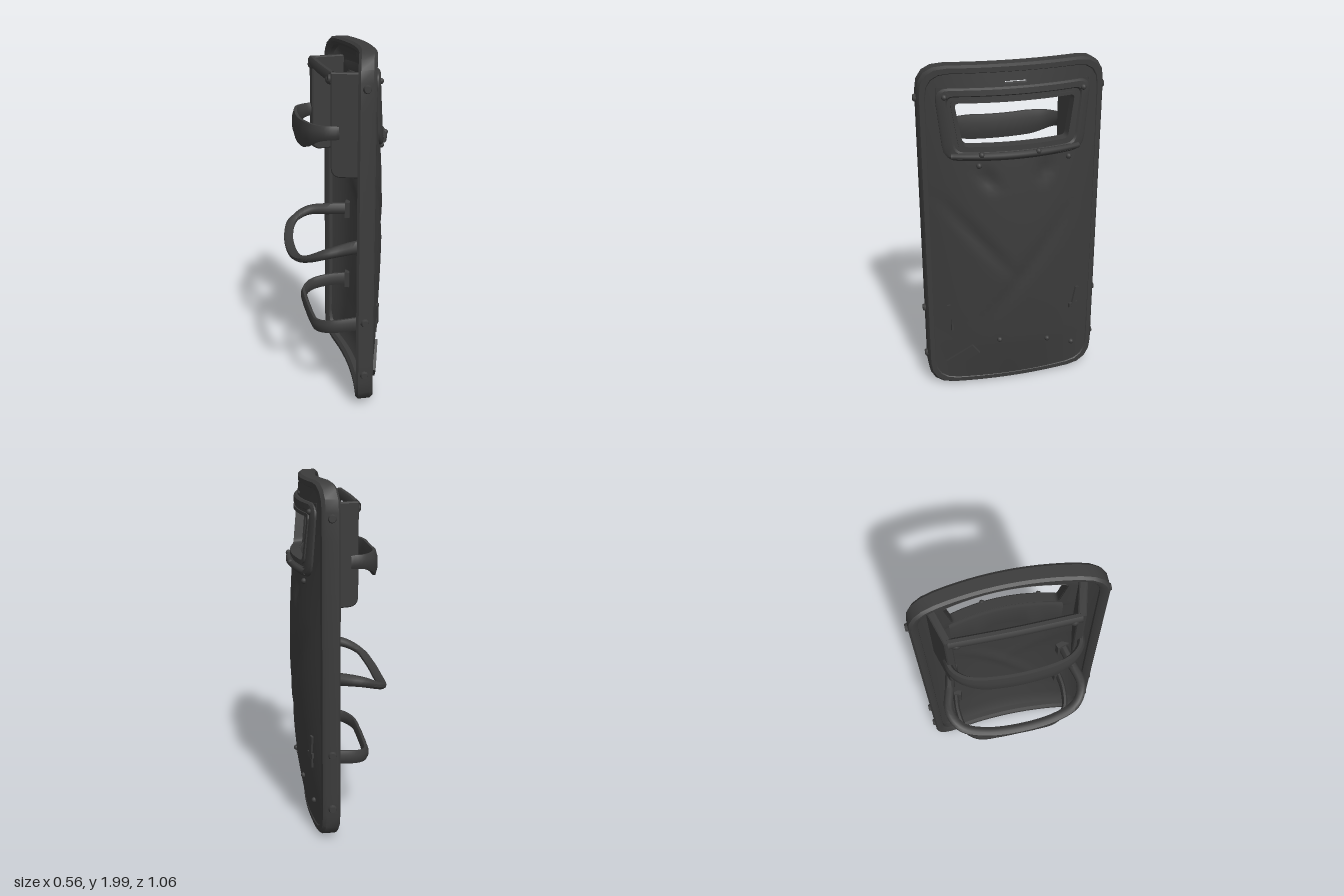
import * as THREE from 'three';
import { toCreasedNormals } from 'three/addons/utils/BufferGeometryUtils.js';

const black = new THREE.MeshStandardMaterial({ color: 0x3c3c3c, side: THREE.DoubleSide });
black.name = 'matte black';

const V = (x, y, z) => new THREE.Vector3(x, y, z);
// horizontal curve shared by rim and panel, a little flatter at the foot
const bend = (y, z) => (0.07 - 0.02 * Math.max(0, 1 - y / 0.3)) * (1 - (z / 0.5) ** 2);

// shallow V-shaped crease between two (z, y) points
function crease(z, y, z0, y0, z1, y1, depth) {
  const dz = z1 - z0, dy = y1 - y0;
  const t = THREE.MathUtils.clamp(((z - z0) * dz + (y - y0) * dy) / (dz * dz + dy * dy), 0, 1);
  const d = Math.hypot(z - z0 - t * dz, y - y0 - t * dy);
  return depth * Math.max(0, 1 - d / 0.06) * Math.sin(Math.PI * t);
}

// x of the outer face of the panel
function face(y, z) {
  const bulge = 0.07 * Math.sin(Math.PI * y / 2) * (1 - (z / 0.5) ** 2);
  return 0.12 + bend(y, z) + bulge
    - crease(z, y, 0.45, 1.3, -0.02, 0.72, 0.014)
    - crease(z, y, -0.36, 1.22, 0.22, 0.4, 0.014)
    - crease(z, y, 0.2, 1.45, 0.12, 1.3, 0.02)
    - crease(z, y, -0.2, 1.48, -0.12, 1.32, 0.02);
}

// panel thickness, swelling to meet the back of the rim
function thickness(y, z) {
  const d = Math.min(0.5 - Math.abs(z), y, 2 - y);
  return 0.03 + 0.055 * Math.max(0, 1 - d / 0.14) ** 2;
}

// surface through rows of points; cell test can leave holes
function loft(rows, { loopI = false, loopJ = false, keep = () => true, crease = 0.6 } = {}) {
  const m = rows.length, n = rows[0].length, index = [];
  for (let i = 0; i < (loopI ? m : m - 1); i++) for (let j = 0; j < (loopJ ? n : n - 1); j++) {
    if (!keep(i, j)) continue;
    const i2 = (i + 1) % m, j2 = (j + 1) % n;
    const a = i * n + j, b = i2 * n + j, c = i2 * n + j2, d = i * n + j2;
    index.push(a, b, c, a, c, d);
  }
  const g = new THREE.BufferGeometry().setFromPoints(rows.flat());
  g.setIndex(index);
  return toCreasedNormals(g, crease);
}

// closed trapezoid outline in (z, y) with rounded corners, finely divided
function outline(wTop, wBot, yb, yt, r) {
  const c = [[wBot, yb], [wTop, yt], [-wTop, yt], [-wBot, yb]].map(p => new THREE.Vector2(...p));
  const pts = [];
  c.forEach((p, i) => {
    const toward = (q, k) => p.clone().add(q.clone().sub(p).setLength(k));
    const prev = c[(i + 3) % 4], next = c[(i + 1) % 4];
    const a = toward(prev, r), b = toward(next, r);
    pts.push(...new THREE.QuadraticBezierCurve(a, p, b).getPoints(4));
    const end = next.clone().add(p.clone().sub(next).setLength(r));
    for (let k = 1; k < 12; k++) pts.push(b.clone().lerp(end, k / 12));
  });
  return pts;
}

// rounded band swept along a smooth path, w wide, h high at its ends and hMid in the middle
function band(points, w, h, hMid = h, steps = 48) {
  const curve = new THREE.CatmullRomCurve3(points.map(p => V(...p)));
  const rows = [];
  for (let i = 0; i <= steps; i++) {
    const p = curve.getPointAt(i / steps), t = curve.getTangentAt(i / steps);
    const side = t.clone().cross(V(0, 1, 0)).normalize(), up = side.clone().cross(t);
    const height = THREE.MathUtils.lerp(h, hMid, THREE.MathUtils.smoothstep(1 - Math.abs(2 * i / steps - 1), 0.1, 0.65));
    rows.push(Array.from({ length: 8 }, (_, k) => {
      const a = (k + 0.5) * Math.PI / 4;
      return p.clone().addScaledVector(side, Math.cos(a) * w * 0.54).addScaledVector(up, Math.sin(a) * height * 0.54);
    }));
  }
  return loft(rows, { loopJ: true, crease: 0.9 });
}

// half a path, given from the panel outward, mirrored across z
const mirrored = half => [...half.map(([x, y, z]) => [x, y, -z]), ...half.slice(0, -1).reverse()];

function lines(stops, step) {
  const out = [stops[0]];
  for (let i = 1; i < stops.length; i++) {
    const a = stops[i - 1], n = Math.ceil((stops[i] - a) / step);
    for (let k = 1; k <= n; k++) out.push(a + (stops[i] - a) * k / n);
  }
  return out;
}

export function createModel() {
  const model = new THREE.Group();
  model.name = 'shield';
  const add = (name, geometry, x = 0, y = 0, z = 0) => {
    const mesh = new THREE.Mesh(geometry, black);
    mesh.name = name;
    mesh.position.set(x, y, z);
    model.add(mesh);
    return mesh;
  };

  // curved panel, two skins with a window and a slit
  const ys = lines([0.025, 0.13, 1.545, 1.83, 1.897, 1.911, 1.985], 0.035);
  const zs = lines([-0.49, -0.335, -0.06, 0.06, 0.335, 0.49], 0.035);
  const halfWidth = y => 0.49 - 0.1 * Math.max(0, (0.11 - y) / 0.09, (y - 1.9) / 0.09) ** 1.5;
  const skin = (zList, depth) => loft(ys.map(y => zList.map(z => {
    const zz = z * halfWidth(y) / 0.49;
    return V(face(y, zz) - depth(y, zz), y, zz);
  })), {
    keep: (i, j) => {
      const y = (ys[i] + ys[i + 1]) / 2, z = Math.abs(zList[j] + zList[j + 1]) / 2;
      return !(y > 1.545 && y < 1.83 && z < 0.335) && !(y > 1.897 && y < 1.911 && z < 0.06);
    },
  });
  add('panelFront', skin(zs, () => 0));
  add('panelBack', skin([...zs].reverse(), thickness));

  // rim: inset and x of each cross-section corner
  const rim = [[0.012, 0.03], [0, 0.045], [0, 0.112], [0.012, 0.128], [0.038, 0.128], [0.048, 0.115], [0.048, 0.045], [0.03, 0.03]];
  add('rim', loft(rim.map(([d, x]) => outline(0.515 - d, 0.515 - d, 0.008 + d, 2 - d, 0.15 - d * 0.5)
    .map(p => V(x + bend(p.y, p.x), p.y, p.x))), { loopI: true, loopJ: true }));

  // window frame and a seal in front of it
  const frame = (name, section) => add(name, loft(section.map(([d, x]) =>
    outline(0.43 - d, 0.39 - d, 1.49 + d * 0.8, 1.885 - d * 0.78, 0.075 - d * 0.5)
      .map(p => V(face(p.y, p.x) + x, p.y, p.x))), { loopI: true, loopJ: true }));
  frame('windowFrame', [[0, -0.02], [0, 0.01], [0.012, 0.02], [0.05, 0.02], [0.06, 0.008], [0.1, 0.008], [0.1, -0.036], [0.05, -0.036]]);
  frame('windowSeal', [[0.078, -0.01], [0.078, 0.016], [0.1, 0.016], [0.106, -0.036]]);

  // lip below the window
  add('lowerLip', band(Array.from({ length: 13 }, (_, i) => -0.355 + 0.355 * i / 6)
    .map(z => [face(1.52, z) + 0.022, 1.52, z]), 0.03, 0.03, 0.036));

  // padded sill behind the panel, below the window
  add('innerSill', loft([[1.34, 0.02], [1.36, 0.055], [1.55, 0.055], [1.567, 0.045], [1.567, 0.01]].map(([y, depth]) =>
    Array.from({ length: 17 }, (_, k) => 0.31 - 0.62 * k / 16)
      .map(z => V(face(y, z) - depth, y, z)))));

  // rivets around the window and on the lower face
  [[1.53, -0.11, 0.03], [1.53, 0.2, 0.03], [1.46, 0.21, 0.004], [1.46, -0.3, 0.004], [1.84, 0.38, 0.02], [1.84, -0.38, 0.02],
    [0.2, -0.37, 0.004], [0.28, -0.2, 0.004], [0.33, 0.1, 0.004]].forEach(([y, z, out]) =>
    add('rivet', new THREE.SphereGeometry(0.016, 10, 8), face(y, z) + out, y, z));

  // bolts on both edges of the rim
  for (const s of [-1, 1]) for (const y of [0.21, 0.53, 1.82]) {
    add('bolt', new THREE.CylinderGeometry(0.018, 0.028, 0.026, 10), 0.075, y, s * 0.517).rotation.x = s * Math.PI / 2;
  }

  // taped strip and clips on the lower face
  const patch = (name, y, z, h, w, turn, t = 0.024) => {
    const m = add(name, new THREE.BoxGeometry(t, h, w), face(y, z), y, z);
    const n = V(1, -(face(y + 0.03, z) - face(y - 0.03, z)) / 0.06, -(face(y, z + 0.03) - face(y, z - 0.03)) / 0.06);
    m.quaternion.setFromUnitVectors(V(1, 0, 0), n.normalize());
    m.rotateX(turn);
  };
  patch('diagonalStrip', 0.215, 0.315, 0.07, 0.2, 0.66, 0.034);
  patch('leftClip', 0.52, 0.375, 0.13, 0.022, 0.25);
  patch('rightClip', 0.53, -0.375, 0.14, 0.025, -0.2);
  patch('rightClipFoot', 0.48, -0.365, 0.03, 0.06, 0);

  // side brackets behind the window
  const plate = new THREE.Shape();
  plate.moveTo(0.23, 1.33);
  plate.lineTo(0.23, 1.88);
  plate.lineTo(0, 1.88);
  plate.lineTo(0, 1.38);
  plate.quadraticCurveTo(0, 1.33, 0.05, 1.33);
  const plateGeometry = new THREE.ExtrudeGeometry(plate, {
    depth: 0.032, bevelSize: 0.006, bevelThickness: 0.006, bevelSegments: 1,
  }).translate(0, 0, -0.016);
  for (const s of [-1, 1]) {
    add('sideBracket', plateGeometry, -0.075, 0, s * 0.338).rotation.y = -s * 0.28;
    add('bracketKnob', new THREE.SphereGeometry(0.028, 10, 8), -0.078, 1.845, s * 0.3);
  }
  add('bracketBar', band([[-0.075, 1.86, -0.34], [-0.08, 1.86, 0], [-0.075, 1.86, 0.34]], 0.046, 0.058));
  add('slitClip', new THREE.BoxGeometry(0.03, 0.04, 0.12), 0.15, 1.935, 0);

  // arm rest, carry loop and lower handle on the inner side
  add('armRest', band(mirrored([[-0.04, 1.568, 0.36], [-0.11, 1.566, 0.345], [-0.165, 1.555, 0.29],
    [-0.195, 1.535, 0.2], [-0.205, 1.525, 0.1], [-0.208, 1.522, 0]]), 0.04, 0.075, 0.145));
  add('carryLoop', band(mirrored([[0.16, 0.925, 0.345], [0.03, 0.922, 0.375], [-0.1, 0.91, 0.402],
    [-0.2, 0.868, 0.35], [-0.245, 0.825, 0.22], [-0.26, 0.803, 0]]), 0.054, 0.07, 0.036, 64));
  add('lowerHandle', band(mirrored([[0.16, 0.455, 0.34], [0.03, 0.45, 0.35], [-0.09, 0.435, 0.325],
    [-0.148, 0.42, 0.25], [-0.16, 0.415, 0.12], [-0.161, 0.415, 0]]), 0.034, 0.078, 0.07, 64));
  for (const s of [-1, 1]) for (const y of [0.455, 0.925]) {
    add('handleFoot', new THREE.BoxGeometry(0.03, 0.1, 0.08), 0.15, y, s * 0.345).rotation.y = s * 0.3;
  }

  return model;
}
